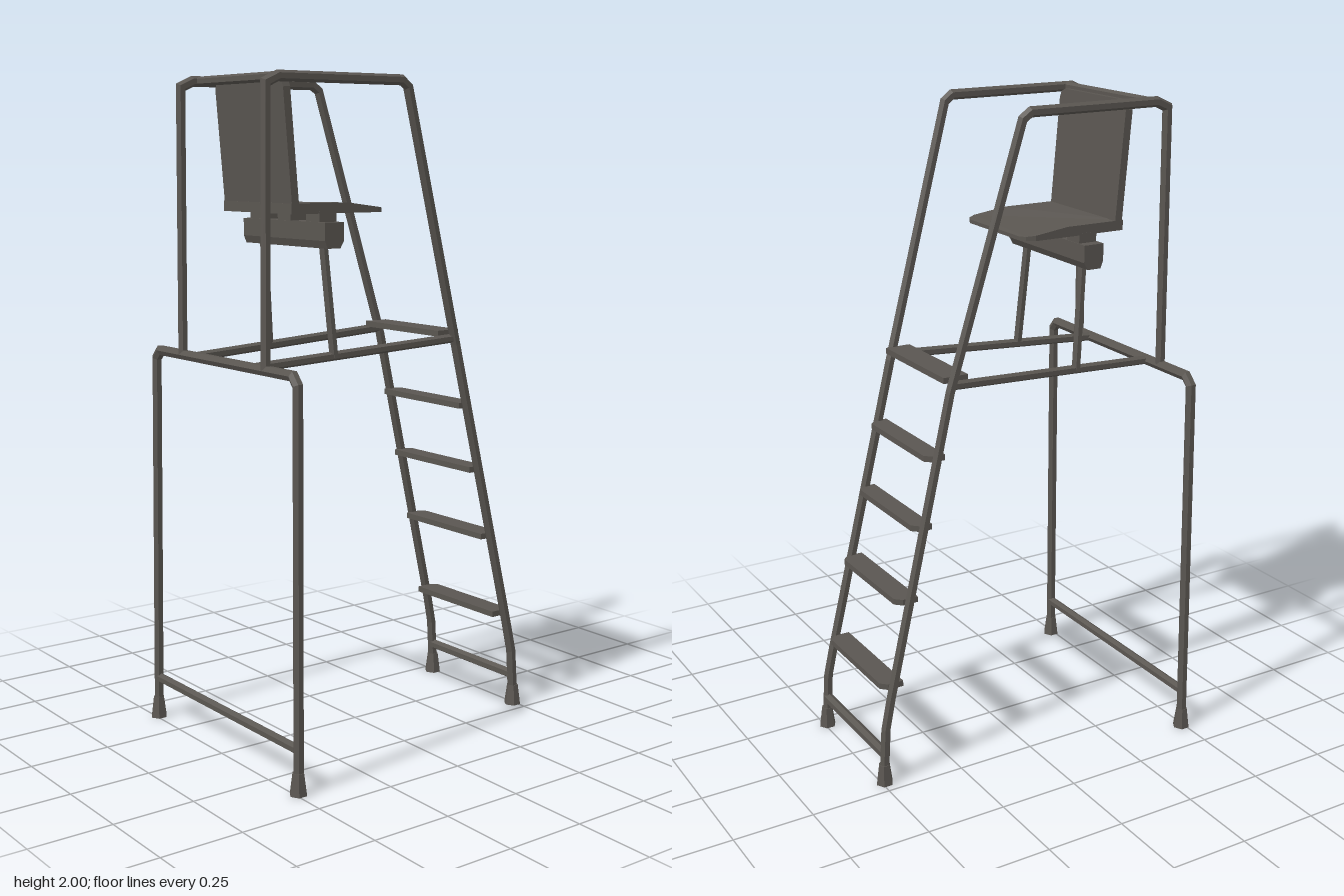
import * as THREE from 'three';

const V = (x, y, z) => new THREE.Vector3(x, y, z);

// Six-sided bar through the points, mitred at every bend and capped
function barGeometry(points, radius, sides = 6) {
  const dirs = points.slice(1).map((p, i) => p.clone().sub(points[i]).normalize());
  const ref = Math.abs(dirs[0].y) > 0.8 ? V(0, 0, 1) : V(0, 1, 0);
  const u = ref.clone().cross(dirs[0]).normalize();
  const v = dirs[0].clone().cross(u);
  const rings = [[]];
  for (let k = 0; k < sides; k++) {
    const a = ((k + 0.5) / sides) * Math.PI * 2;
    rings[0].push(points[0].clone().addScaledVector(u, Math.cos(a) * radius).addScaledVector(v, Math.sin(a) * radius));
  }
  for (let i = 1; i < points.length; i++) {
    const d = dirs[i - 1];
    const n = d.clone().add(dirs[i] || d).normalize();
    rings.push(rings[i - 1].map(p => p.clone().addScaledVector(d, points[i].clone().sub(p).dot(n) / d.dot(n))));
  }
  const pos = [], index = [];
  rings.forEach(r => r.forEach(p => pos.push(p.x, p.y, p.z)));
  for (let i = 0; i < rings.length - 1; i++) {
    for (let k = 0; k < sides; k++) {
      const a = i * sides + k, b = i * sides + (k + 1) % sides;
      index.push(a, b, b + sides, a, b + sides, a + sides);
    }
  }
  const last = (rings.length - 1) * sides;
  for (let k = 1; k < sides - 1; k++) index.push(0, k + 1, k, last, last + k, last + k + 1);
  const g = new THREE.BufferGeometry();
  g.setAttribute('position', new THREE.Float32BufferAttribute(pos, 3));
  g.setIndex(index);
  const flat = g.toNonIndexed();
  flat.computeVertexNormals();
  return flat;
}

// Plate outlined by [x, y] points
function plateGeometry(outline, thickness) {
  const shape = new THREE.Shape(outline.map(p => new THREE.Vector2(p[0], p[1])));
  return new THREE.ExtrudeGeometry(shape, { depth: thickness, bevelEnabled: false });
}

export function createModel() {
  const model = new THREE.Group();
  model.name = 'lookoutChair';
  const metal = new THREE.MeshStandardMaterial({ color: 0x5a5651, flatShading: true });
  metal.name = 'dark grey metal';

  const add = (name, geometry) => {
    const mesh = new THREE.Mesh(geometry, metal);
    mesh.name = name;
    model.add(mesh);
    return mesh;
  };
  const bar = (name, points, r = 0.015) => add(name, barGeometry(points.map(p => V(...p)), r));

  // Front hoop with its low crossbar
  bar('frontFrame', [
    [-0.388, 0.05, 0.49], [-0.378, 1.155, 0.478], [-0.355, 1.18, 0.477],
    [0.355, 1.18, 0.477], [0.378, 1.155, 0.478], [0.388, 0.05, 0.49],
  ], 0.016);
  bar('frontCrossbar', [[-0.385, 0.13, 0.488], [0.385, 0.13, 0.488]], 0.015);

  for (const s of [1, -1]) {
    const side = s > 0 ? 'left' : 'right';
    // One pipe forms the upper post, the armrail and the ladder rail
    bar(side + 'SideRail', [
      [s * 0.222, 1.18, 0.478], [s * 0.222, 1.965, 0.47], [s * 0.222, 1.983, 0.43],
      [s * 0.222, 1.983, 0.0], [s * 0.221, 1.965, -0.025], [s * 0.188, 1.2, -0.243],
      [s * 0.2, 0.27, -0.463], [s * 0.202, 0.18, -0.482], [s * 0.203, 0.05, -0.49],
    ], 0.0155);
    // Brace from front hoop to ladder
    bar(side + 'Brace', [[s * 0.155, 1.18, 0.475], [s * 0.186, 1.218, -0.24]], 0.014);
    // Seat post
    bar(side + 'SeatPost', [[s * 0.152, 1.53, 0.23], [s * 0.168, 1.19, 0.203]], 0.014);
    // Flared feet
    for (const [name, x, z] of [['FrontFoot', 0.388, 0.491], ['RearFoot', 0.203, -0.491]]) {
      add(side + name, new THREE.CylinderGeometry(0.018, 0.027, 0.065, 6)).position.set(s * x, 0.0325, z);
    }
  }

  // Bar behind the seat back
  bar('topCrossbar', [[-0.222, 1.983, 0.41], [0.222, 1.983, 0.41]], 0.014);

  // Ladder: platform, treads and bottom rung
  add('topStep', new THREE.BoxGeometry(0.36, 0.018, 0.08)).position.set(0, 1.234, -0.22);
  for (const [y, z, depth] of [[1.005, -0.292, 0.06], [0.797, -0.338, 0.06], [0.575, -0.394, 0.07], [0.31, -0.448, 0.07]]) {
    const h = depth / 2, w = 0.187, c = 0.02;
    const tread = plateGeometry([[-w, h], [-w, c - h], [c - w, -h], [w - c, -h], [w, c - h], [w, h]], 0.018);
    tread.rotateX(Math.PI / 2);
    add('tread', tread).position.set(0, y + 0.009, z);
  }
  bar('bottomRung', [[-0.2, 0.1, -0.488], [0.2, 0.1, -0.488]], 0.016);

  // Beam under the seat with its mounting blocks
  const beam = plateGeometry([[0.21, 1.508], [0.255, 1.508], [0.264, 1.53], [0.264, 1.582], [0.197, 1.582], [0.197, 1.53]], 0.42);
  beam.rotateY(-Math.PI / 2);
  add('seatBeam', beam).position.x = 0.21;
  for (const x of [-0.145, 0, 0.145]) {
    add('seatMount', new THREE.BoxGeometry(0.065, 0.035, 0.06)).position.set(x, 1.594, 0.23);
  }

  // Seat pan, its front edge drooping slightly
  const pan = plateGeometry([
    [-0.177, 0.355], [-0.177, 0.16], [-0.177, 0.05], [-0.163, 0.025], [-0.14, 0.015],
    [0.14, 0.015], [0.163, 0.025], [0.177, 0.05], [0.177, 0.16], [0.177, 0.355],
  ], 0.03);
  pan.rotateX(Math.PI / 2);
  const p = pan.attributes.position;
  for (let i = 0; i < p.count; i++) {
    const droop = Math.max(0, 0.16 - p.getZ(i)) * 0.13;
    if (p.getY(i) > -0.01) p.setY(i, -droop);
  }
  pan.computeVertexNormals();
  add('seatPan', pan).position.y = 1.636;

  // Seat back, leaning rearward
  const back = plateGeometry([
    [-0.175, 0], [0.175, 0], [0.175, 0.345], [0.168, 0.363], [0.15, 0.372],
    [-0.15, 0.372], [-0.168, 0.363], [-0.175, 0.345],
  ], 0.024);
  const seatBack = add('seatBack', back);
  seatBack.position.set(0, 1.615, 0.327);
  seatBack.rotation.x = 0.085;

  return model;
}
